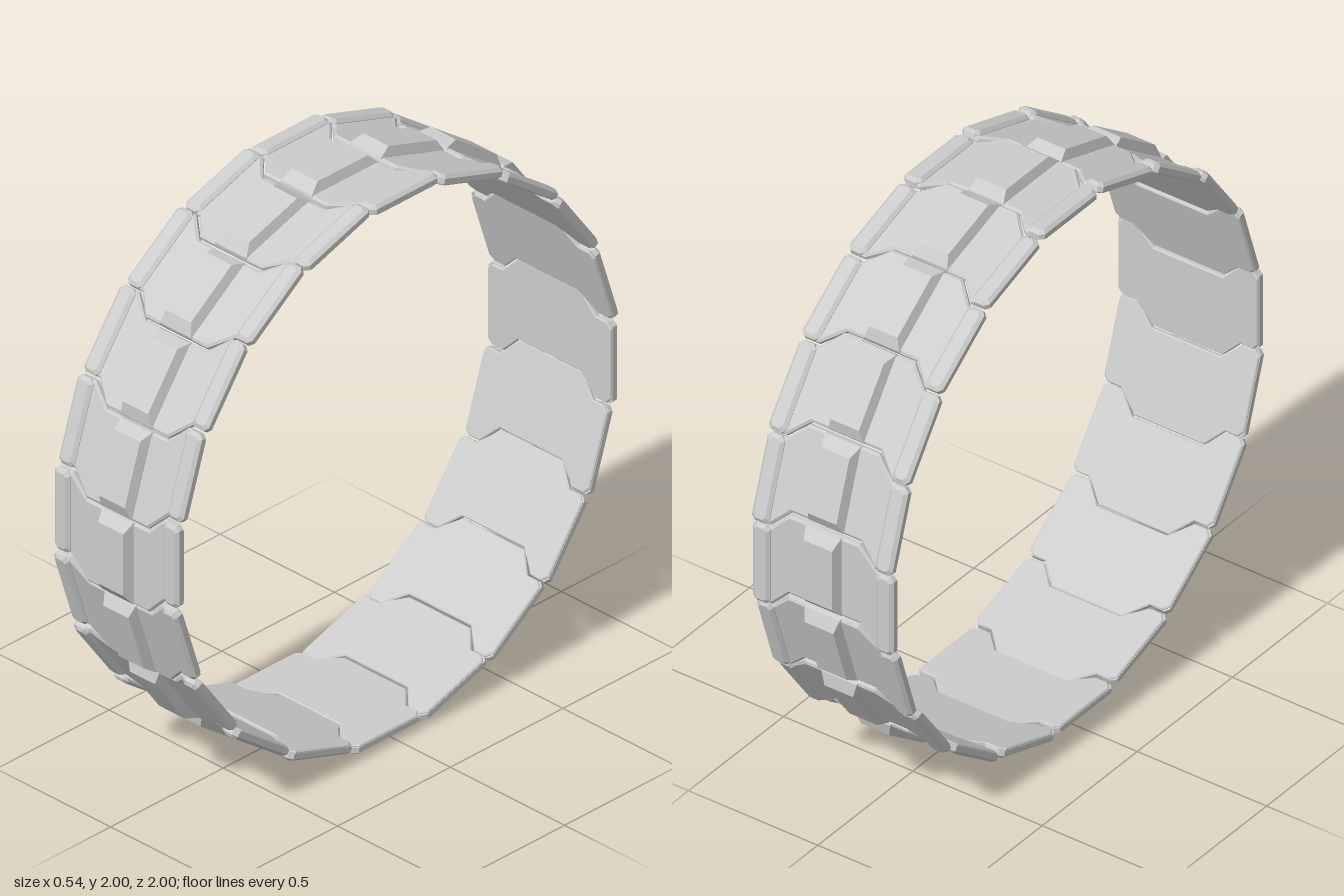
import * as THREE from 'three';

// Closed solid lofted through matching outlines: rings = [{ r: height, pts: [[x, z], ...] }, ...]
function loft(rings) {
  const pos = [], n = rings[0].pts.length;
  const vert = (ring, i) => [ring.pts[i % n][0], ring.r, ring.pts[i % n][1]];
  for (let k = 0; k < rings.length - 1; k++) {
    for (let i = 0; i < n; i++) {
      const a = vert(rings[k], i), b = vert(rings[k], i + 1);
      const c = vert(rings[k + 1], i + 1), d = vert(rings[k + 1], i);
      pos.push(...a, ...b, ...c, ...a, ...c, ...d);
    }
  }
  const cap = (ring, up) => {
    const contour = ring.pts.map(p => new THREE.Vector2(p[0], -p[1]));
    for (const [a, b, c] of THREE.ShapeUtils.triangulateShape(contour, [])) {
      const order = up ? [a, b, c] : [a, c, b];
      order.forEach(i => pos.push(...vert(ring, i)));
    }
  };
  cap(rings[0], false);
  cap(rings[rings.length - 1], true);
  const g = new THREE.BufferGeometry();
  g.setAttribute('position', new THREE.Float32BufferAttribute(pos, 3));
  g.computeVertexNormals();
  return g;
}

// Chevron plate outline, counter-clockwise seen from outside; d shrinks it inwards
function plateOutline(d) {
  const lead = [[0.135, 0.178], [0.203, 0.108], [0.25, 0.108], [0.27, 0.088]];
  const trail = [[0.27, -0.167], [0.25, -0.187], [0.203, -0.187], [0.135, -0.119]];
  const half = [
    ...lead.map(([x, z]) => [x > 0.26 ? x - d : x - d * 0.4, z - d]),
    ...trail.map(([x, z]) => [x > 0.26 ? x - d : x + (x < 0.22 ? d * 0.4 : -d * 0.4), z + d]),
  ];
  return [...half, ...half.map(([x, z]) => [-x, z]).reverse()];
}

// Rectangle with cut corners
function cutRect(x0, x1, z0, z1, c) {
  return [[x0 + c, z1], [x1 - c, z1], [x1, z1 - c], [x1, z0 + c],
    [x1 - c, z0], [x0 + c, z0], [x0, z0 + c], [x0, z1 - c]];
}

const rect = (x0, x1, z0, z1) => [[x0, z1], [x1, z1], [x1, z0], [x0, z0]];

export function createModel() {
  const model = new THREE.Group();
  model.name = 'trackRing';
  const material = new THREE.MeshStandardMaterial({ color: 0xcccccc, flatShading: true });

  // Base plate with a bevelled outer edge
  const plate = loft([
    { r: 0.945, pts: plateOutline(0.004) },
    { r: 0.949, pts: plateOutline(0) },
    { r: 0.961, pts: plateOutline(0) },
    { r: 0.968, pts: plateOutline(0.008) },
  ]);

  // Raised centre lug with sloping sides and ends
  const lug = loft([
    { r: 0.96, pts: rect(-0.07, 0.07, -0.119, 0.178) },
    { r: 0.969, pts: rect(-0.068, 0.068, -0.117, 0.176) },
    { r: 1.0, pts: rect(-0.055, 0.055, -0.085, 0.138) },
  ]);

  // Raised pads along the two outer edges
  const pad = side => {
    const [a, b] = side > 0 ? [0.205, 0.272] : [-0.272, -0.205];
    return loft([
      { r: 0.952, pts: cutRect(a, b, -0.188, 0.109, 0.014) },
      { r: 0.97, pts: cutRect(a, b, -0.188, 0.109, 0.014) },
      { r: 0.98, pts: cutRect(a + 0.012, b - 0.012, -0.176, 0.097, 0.01) },
    ]);
  };
  const parts = { plate, centreLug: lug, leftPad: pad(1), rightPad: pad(-1) };

  // Twenty identical links around the x axis
  const count = 20;
  for (let i = 0; i < count; i++) {
    const link = new THREE.Group();
    link.name = `link${i + 1}`;
    for (const [name, geometry] of Object.entries(parts)) {
      const mesh = new THREE.Mesh(geometry, material);
      mesh.name = name;
      link.add(mesh);
    }
    link.rotation.x = (i / count) * Math.PI * 2;
    link.position.y = 1;
    model.add(link);
  }
  return model;
}
